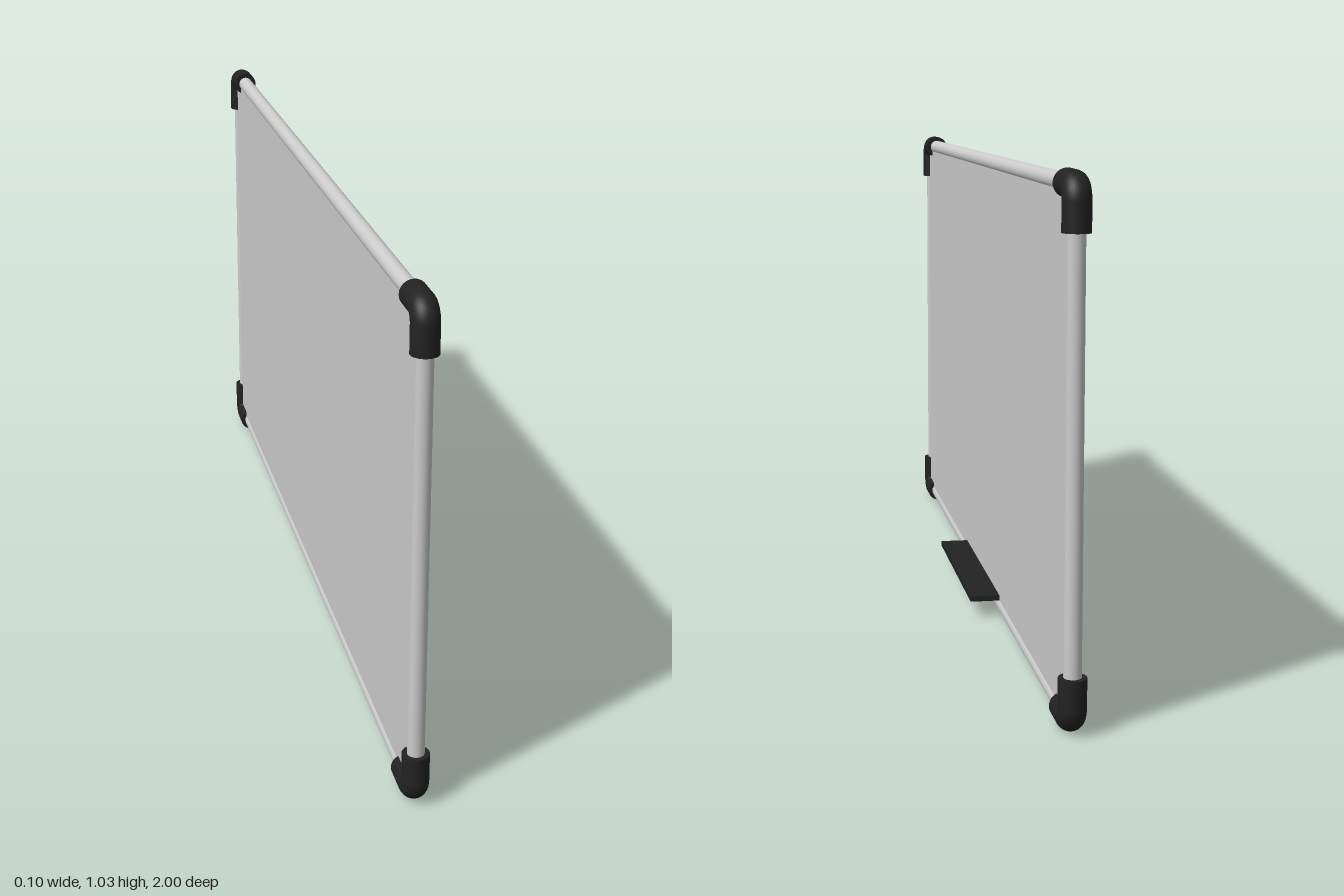
import * as THREE from 'three';

const X = -0.026;                 // plane of the board
const HZ = 0.973;                 // half distance between side rail axes
const Y0 = 0.027, Y1 = 1.003;     // lower and upper rail axes
const RAIL_R = 0.017, ELBOW_R = 0.027, ARM = 0.083;

const grey = new THREE.MeshStandardMaterial({ color: 0xcccccc });
const black = new THREE.MeshStandardMaterial({ color: 0x222222 });

function add(parent, name, geometry, material, x, y, z) {
  const mesh = new THREE.Mesh(geometry, material);
  mesh.name = name;
  mesh.position.set(x, y, z);
  parent.add(mesh);
  return mesh;
}

// Corner elbow around the origin, arms pointing along +x and +y
function createElbow() {
  const elbow = new THREE.Group();
  const length = ARM - ELBOW_R;
  const mid = ELBOW_R + length / 2;
  const arm = new THREE.CylinderGeometry(ELBOW_R, ELBOW_R, length, 32);
  add(elbow, 'elbowUprightArm', arm, black, 0, mid, 0);
  add(elbow, 'elbowLevelArm', arm, black, mid, 0, 0).rotation.z = Math.PI / 2;
  const bend = new THREE.TorusGeometry(ELBOW_R, ELBOW_R, 32, 16, Math.PI / 2);
  add(elbow, 'elbowBend', bend, black, ELBOW_R, ELBOW_R, 0).rotation.z = Math.PI;
  return elbow;
}

export function createModel() {
  const model = new THREE.Group();
  model.name = 'whiteboard';
  const midY = (Y0 + Y1) / 2, height = Y1 - Y0;

  // Writing panel
  add(model, 'panel', new THREE.BoxGeometry(0.025, height, HZ * 2), grey, X, midY, 0);

  // Frame rails, ending inside the elbows
  const levelRail = new THREE.CylinderGeometry(RAIL_R, RAIL_R, HZ * 2 - 0.06, 32);
  const sideRail = new THREE.CylinderGeometry(RAIL_R, RAIL_R, height - 0.06, 32);
  add(model, 'bottomRail', levelRail, grey, X, Y0, 0).rotation.x = Math.PI / 2;
  add(model, 'topRail', levelRail, grey, X, Y1, 0).rotation.x = Math.PI / 2;
  add(model, 'frontRail', sideRail, grey, X, midY, HZ);
  add(model, 'backRail', sideRail, grey, X, midY, -HZ);

  // Elbows: turned a quarter further at each corner in order
  const corners = [[Y0, HZ], [Y0, -HZ], [Y1, -HZ], [Y1, HZ]];
  corners.forEach(([y, z], i) => {
    const turned = createElbow();
    turned.rotation.z = i * Math.PI / 2;
    const elbow = new THREE.Group();
    elbow.name = 'cornerElbow';
    elbow.add(turned);
    elbow.rotation.y = Math.PI / 2;
    elbow.position.set(X, y, z);
    model.add(elbow);
  });

  // Pen tray
  add(model, 'penTray', new THREE.BoxGeometry(0.07, 0.012, 0.485), black, 0.016, 0.044, 0);
  return model;
}
